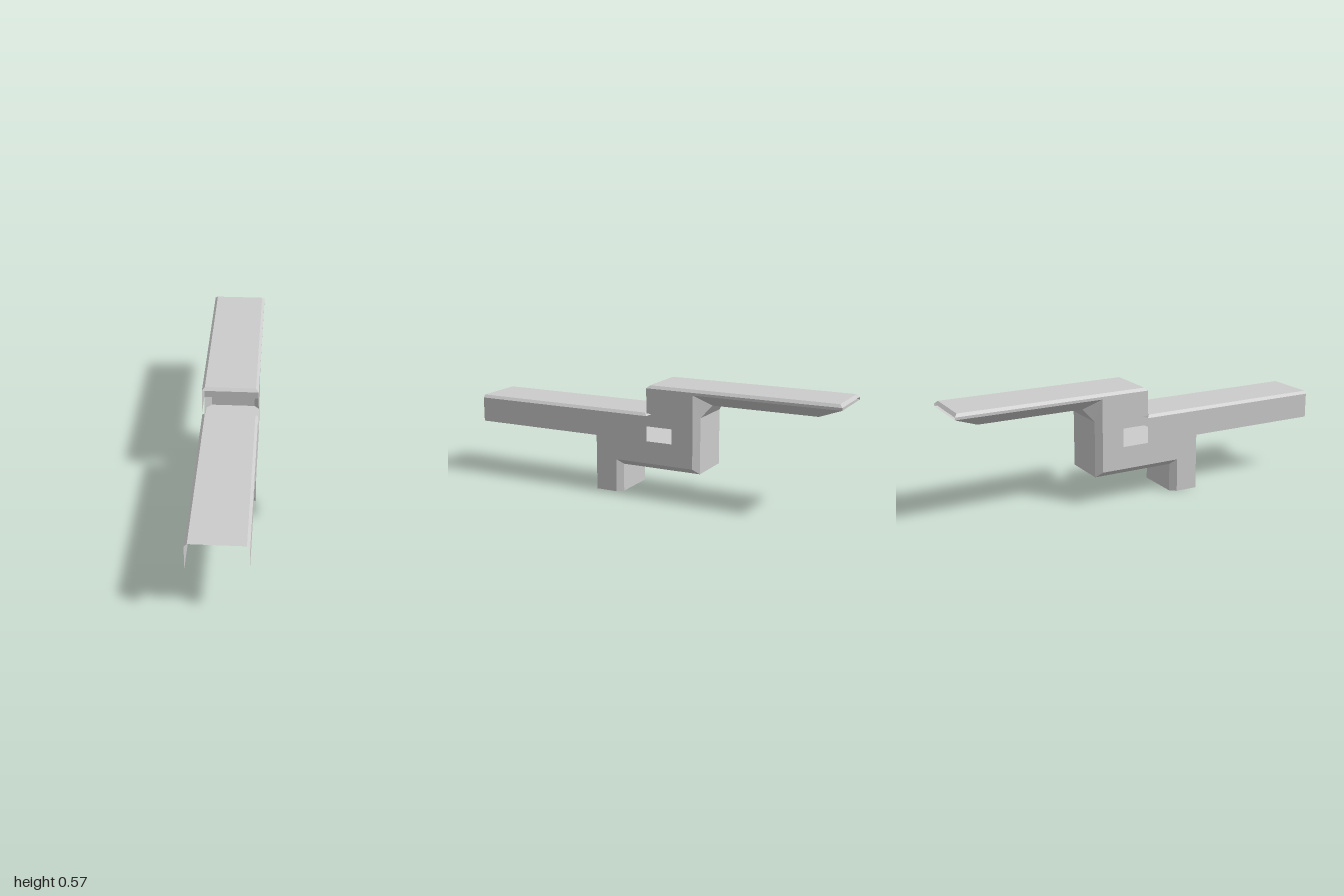
import * as THREE from 'three';

const W = 0.142; // half width of the shell
const material = new THREE.MeshStandardMaterial({ color: 0xcccccc, flatShading: true, side: THREE.DoubleSide });

// Flat polygons, each a list of [x, y, z] corners, joined into one mesh
function panels(name, polygons) {
  const positions = [];
  for (const p of polygons) {
    for (let i = 1; i < p.length - 1; i++) positions.push(...p[0], ...p[i], ...p[i + 1]);
  }
  const geometry = new THREE.BufferGeometry();
  geometry.setAttribute('position', new THREE.Float32BufferAttribute(positions, 3));
  geometry.computeVertexNormals();
  const mesh = new THREE.Mesh(geometry, material);
  mesh.name = name;
  return mesh;
}

const mirror = ([x, y, z]) => [-x, y, z];

// Top plate with bevelled edges; the front bevel is only at the given depth
function deck(name, front, back, y, frontBevel, backBevel) {
  const b = 0.014;
  const low = [[W, y - b, front], [W, y - b, back], [-W, y - b, back], [-W, y - b, front]];
  const f = front - frontBevel, k = back + backBevel;
  const high = [[W - b, y, f], [W - b, y, k], [b - W, y, k], [b - W, y, f]];
  const faces = [[...high]];
  for (let i = 0; i < 4; i++) {
    const j = (i + 1) % 4;
    if (i === 3 && !frontBevel) continue;
    faces.push([low[i], low[j], high[j], high[i]]);
  }
  return panels(name, faces);
}

// Thin side wall, outlined as (z, y)
function sideWall(name, x) {
  const outline = [
    [1, 0.287], [1, 0.416], [0, 0.416], [0, 0.287], [-0.14, 0.287], [-0.14, 0.43], [0, 0.43], [0, 0.558],
    [-1, 0.558], [-1, 0.545], [-0.255, 0.545], [-0.255, 0.172], [0.175, 0.172], [0.175, 0], [0.29, 0], [0.29, 0.287],
  ];
  const shape = new THREE.Shape(outline.map(([z, y]) => new THREE.Vector2(-z, y)));
  const mesh = new THREE.Mesh(new THREE.ShapeGeometry(shape).rotateY(Math.PI / 2), material);
  mesh.position.x = x;
  mesh.name = name;
  return mesh;
}

// Stepped rear and bottom skin with chamfered long edges
function steppedSkin() {
  const outer = [[W, 0, 0.175], [W, 0.172, 0.175], [W, 0.172, -0.255], [W, 0.545, -0.255], [W, 0.545, -1]];
  const inner = [
    [0.115, 0, 0.145], [0.115, 0.145, 0.145], [0.115, 0.145, -0.285],
    [0.115, 0.43, -0.285], [0.075, 0.49, -0.33], [0.075, 0.49, -0.87],
  ];
  const chamfers = [];
  for (let i = 0; i < 3; i++) chamfers.push([outer[i], outer[i + 1], inner[i + 1], inner[i]]);
  chamfers.push([outer[3], inner[4], inner[3]], [outer[3], outer[4], inner[5], inner[4]]);
  const faces = [...chamfers, ...chamfers.map((p) => p.map(mirror))];
  for (let i = 0; i < 5; i++) {
    faces.push([inner[i], inner[i + 1], mirror(inner[i + 1]), mirror(inner[i])]);
  }
  faces.push([outer[4], inner[5], mirror(inner[5]), mirror(outer[4])]);
  return panels('steppedSkin', faces);
}

export function createModel() {
  const group = new THREE.Group();
  group.name = 'steppedBracket';
  group.add(deck('lowerDeck', 1, 0, 0.43, 0, 0.014));
  group.add(deck('upperDeck', 0, -1, 0.572, 0.014, 0.014));
  group.add(sideWall('leftWall', W), sideWall('rightWall', -W));
  group.add(steppedSkin());

  // Inner partitions
  group.add(panels('innerFloor', [[
    [W, 0.287, 0.145], [W, 0.287, -0.255], [0.115, 0.287, -0.285],
    [-0.115, 0.287, -0.285], [-W, 0.287, -0.255], [-W, 0.287, 0.145],
  ]]));
  group.add(panels('legPartition', [[
    [0.115, 0.145, 0.145], [W, 0.172, 0.145], [W, 0.287, 0.145],
    [-W, 0.287, 0.145], [-W, 0.172, 0.145], [-0.115, 0.145, 0.145],
  ]]));
  group.add(panels('upperPartition', [[
    [W, 0.43, -0.14], [W, 0.558, -0.14], [0.128, 0.572, -0.14],
    [-0.128, 0.572, -0.14], [-W, 0.558, -0.14], [-W, 0.43, -0.14],
  ]]));
  return group;
}
